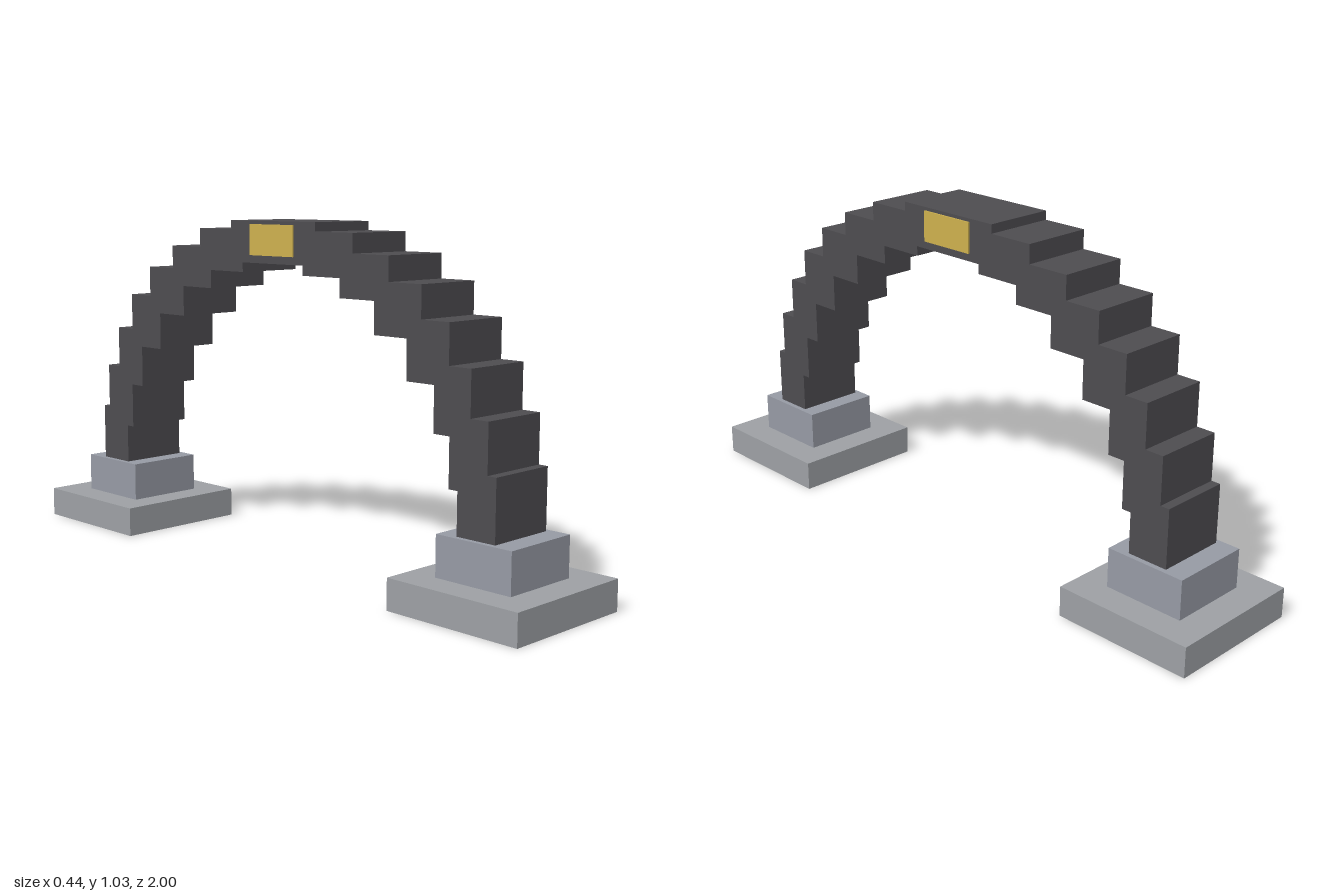
import * as THREE from 'three';

const mat = (color) => new THREE.MeshStandardMaterial({ color });

// Axis-aligned block centred on x, given its half width and its y and z ranges
function block(name, halfX, y0, y1, z0, z1, material) {
  const mesh = new THREE.Mesh(new THREE.BoxGeometry(halfX * 2, y1 - y0, z1 - z0), material);
  mesh.position.set(0, (y0 + y1) / 2, (z0 + z1) / 2);
  mesh.name = name;
  return mesh;
}

export function createModel() {
  const model = new THREE.Group();
  model.name = 'steppedArch';

  const dark = mat(0x4d4c50);
  const footing = mat(0x9da0a4);
  const plinth = mat(0x969aa4);
  const gold = mat(0xcdb04e);

  // Overlapping arch stones of one half, from foot to crown: [y0, y1, z0, z1]
  const stones = [
    [0.21, 0.39, 0.713, 0.841],
    [0.335, 0.532, 0.683, 0.812],
    [0.477, 0.663, 0.628, 0.753],
    [0.608, 0.778, 0.53, 0.678],
    [0.724, 0.872, 0.41, 0.58],
    [0.818, 0.944, 0.277, 0.462],
    [0.874, 1.001, 0.129, 0.326],
  ];

  for (const side of [1, -1]) {
    const half = new THREE.Group();
    half.name = side > 0 ? 'frontHalf' : 'backHalf';
    const add = (name, halfX, y0, y1, z0, z1, material) => {
      const mesh = block(name, halfX, y0, y1, z0, z1, material);
      mesh.position.z *= side;
      half.add(mesh);
    };
    add('footing', 0.219, 0, 0.092, 0.565, 1, footing);
    add('plinth', 0.126, 0.092, 0.212, 0.655, 0.907, plinth);
    stones.forEach(([y0, y1, z0, z1], i) => add(`archStone${i + 1}`, 0.11, y0, y1, z0, z1, dark));
    model.add(half);
  }

  // Crown of the arch with a gold keystone showing on both sides
  model.add(block('crownStone', 0.11, 0.903, 1.028, -0.18, 0.18, dark));
  model.add(block('keystone', 0.115, 0.926, 1.018, -0.092, 0.092, gold));

  return model;
}
